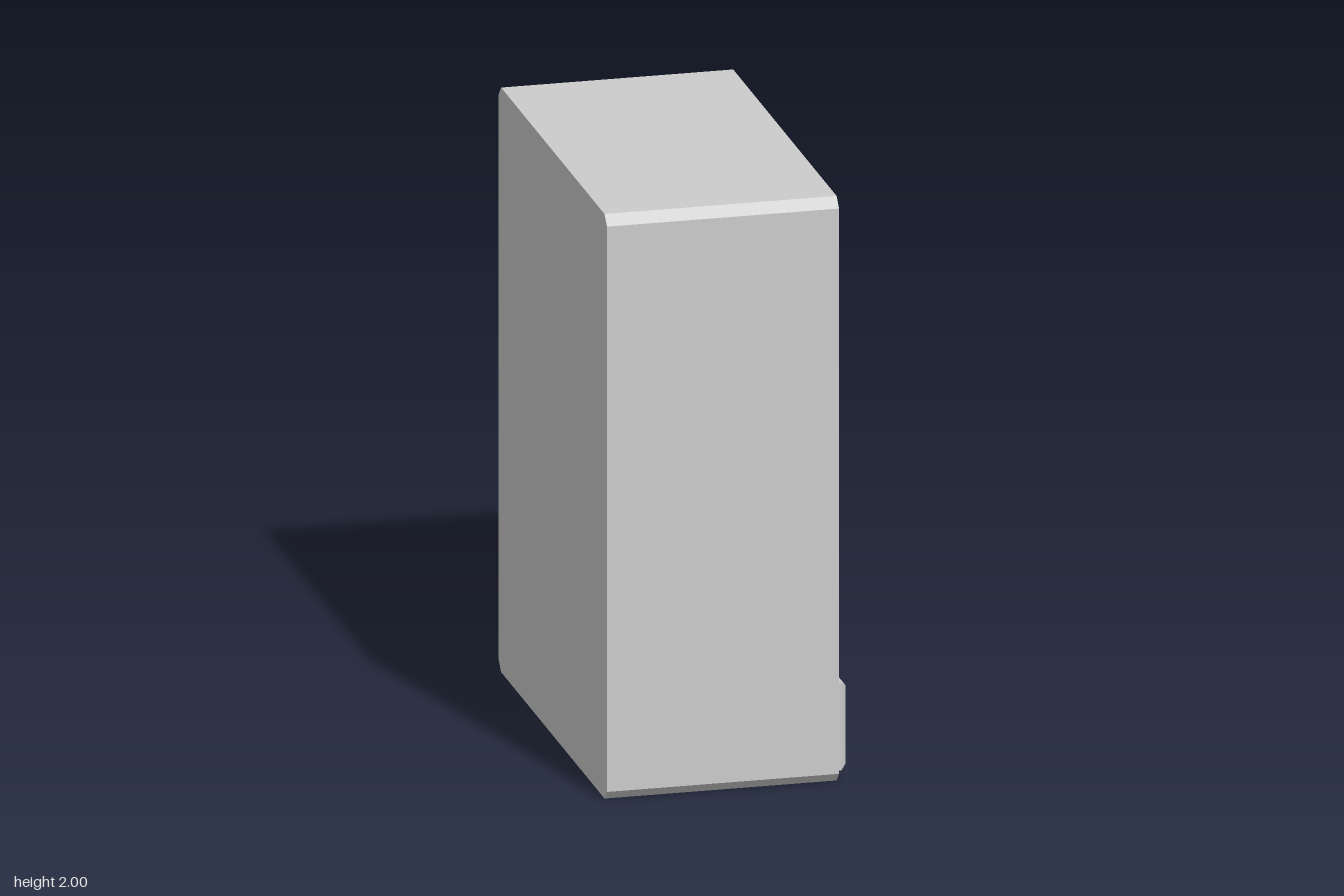
import * as THREE from 'three';

const BACK = -0.405, FACE = 0.374;
const material = new THREE.MeshStandardMaterial({ color: 0xcccccc, flatShading: true });

// Parts are drawn in a plane (u, v) with depth n, then turned so that n points to +x
function part(name, geometry) {
  geometry.rotateY(Math.PI / 2);
  const mesh = new THREE.Mesh(geometry, material);
  mesh.name = name;
  return mesh;
}

// Rectangle [u0, v0, u1, v1] shrunk by an inset, counter-clockwise
function rectangle([u0, v0, u1, v1], inset = 0) {
  const i = inset;
  return [[u0 + i, v0 + i], [u1 - i, v0 + i], [u1 - i, v1 - i], [u0 + i, v1 - i]];
}

// Joins rings of { points, n } with flat quads; optionally closes the last one
function loft(rings, cap) {
  const p = [];
  for (let r = 0; r + 1 < rings.length; r++) {
    const a = rings[r], b = rings[r + 1], count = a.points.length;
    for (let i = 0; i < count; i++) {
      const j = (i + 1) % count;
      const A = [...a.points[i], a.n], B = [...a.points[j], a.n];
      const C = [...b.points[j], b.n], D = [...b.points[i], b.n];
      p.push(...A, ...B, ...C, ...A, ...C, ...D);
    }
  }
  if (cap) {
    const { points, n } = rings[rings.length - 1];
    for (let i = 1; i + 1 < points.length; i++) {
      for (const k of [0, i, i + 1]) p.push(...points[k], n);
    }
  }
  const geometry = new THREE.BufferGeometry();
  geometry.setAttribute('position', new THREE.Float32BufferAttribute(p, 3));
  geometry.computeVertexNormals();
  return geometry;
}

// Stepped rectangular panel from a list of [inset, n] steps
const panel = (rect, steps) =>
  loft(steps.map(([inset, n]) => ({ points: rectangle(rect, inset), n })), true);

const toShape = (points) => new THREE.Shape(points.map(([u, v]) => new THREE.Vector2(u, v)));

export function createModel() {
  const group = new THREE.Group();
  group.name = 'cabinet';

  // Cabinet outline with chamfered long edges
  const w = 0.72, h = 2, c = 0.033;
  const outline = [
    [-w + c, 0], [w - c, 0], [w, c], [w, h - c],
    [w - c, h], [-w + c, h], [-w, h - c], [-w, c],
  ];

  const bay = [-0.68, 0.44, 0.68, 1.392];
  const windows = [[-0.683, 1.51, -0.04, 1.948], [0.04, 1.51, 0.683, 1.948]];
  const drawer = [-0.697, 0.037, 0.697, 0.338];

  // Outer shell
  group.add(part('cabinetSides', loft([{ points: outline, n: BACK }, { points: outline, n: FACE }], false)));
  const back = new THREE.ShapeGeometry(toShape(outline));
  back.rotateY(Math.PI);
  back.translate(0, 0, BACK);
  group.add(part('cabinetBack', back));

  // Face with three openings
  const faceShape = toShape(outline);
  for (const rect of [bay, ...windows]) faceShape.holes.push(toShape(rectangle(rect)));
  const face = new THREE.ShapeGeometry(faceShape);
  face.translate(0, 0, FACE);
  group.add(part('cabinetFace', face));

  // Deep bay: bevelled rim, straight walls, raised back panel
  group.add(part('displayBay', panel(bay, [
    [0, FACE], [0.03, FACE - 0.027], [0.03, 0.17], [0.058, 0.17], [0.058, 0.2], [0.07, 0.212],
  ])));

  // Shallow upper compartments
  windows.forEach((rect, i) => group.add(part(i ? 'rightCompartment' : 'leftCompartment', panel(rect, [
    [0, FACE], [0.013, FACE - 0.015], [0.013, FACE - 0.045],
  ]))));

  // Raised bevelled drawer front
  group.add(part('drawerFront', panel(drawer, [[0, FACE], [0, FACE + 0.014], [0.016, 0.405]])));

  return group;
}
